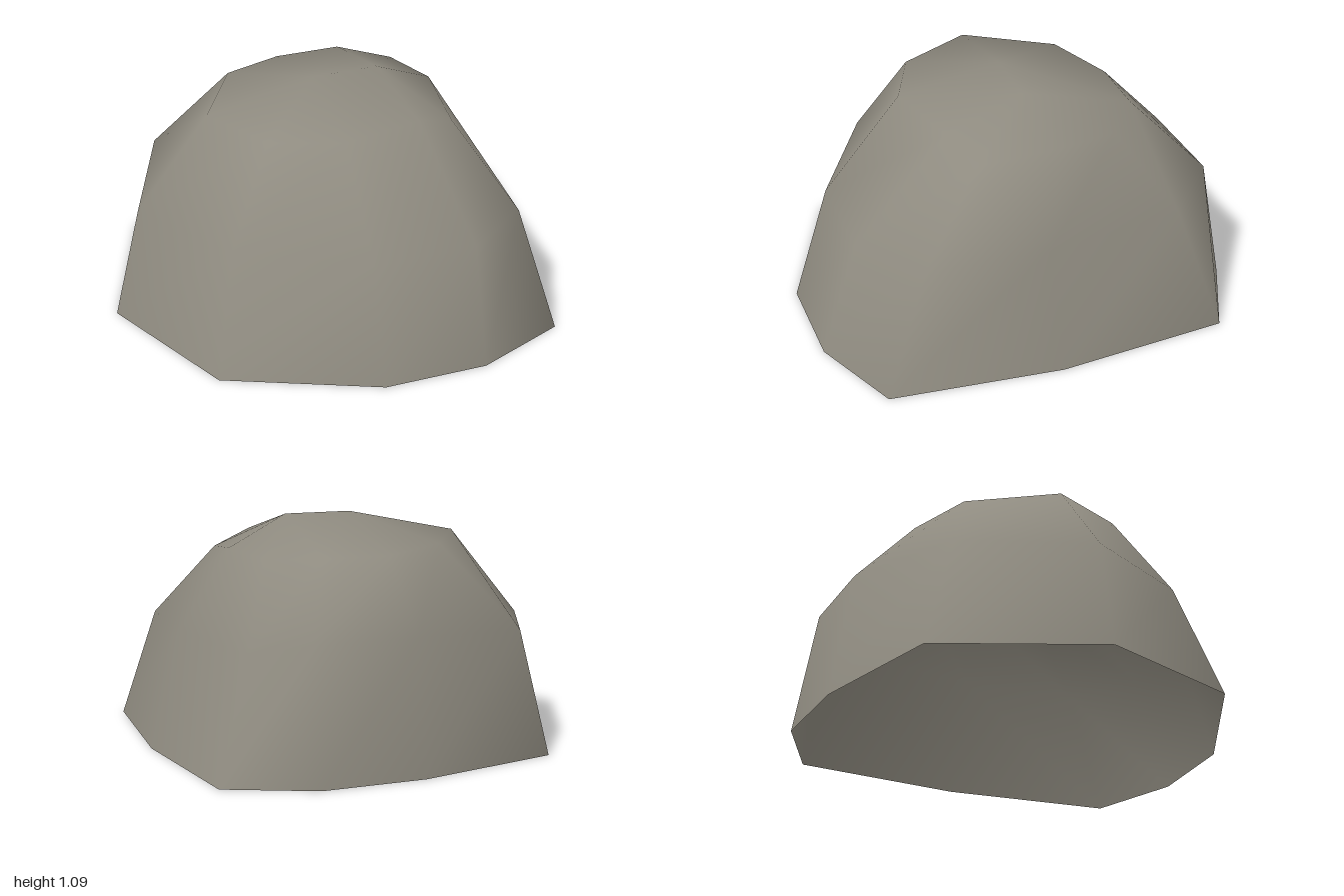
import * as THREE from 'three';

export function createModel() {
  const group = new THREE.Group();
  group.name = 'boulder';
  const stone = new THREE.MeshStandardMaterial({ color: 0x8f8b80, side: THREE.DoubleSide });
  stone.name = 'stone grey';

  // Cross-sections from the ground up, each running left, back, right, front
  const base = [[-1, 0, 0], [-0.7, 0, -0.76], [0, 0, -0.97], [0.5, 0, -1], [0.91, 0, -0.82],
    [1, 0, 0], [0.94, 0, 0.82], [0.5, 0, 1], [0, 0, 1], [-0.7, 0, 0.69]];
  const waist = [[-0.87, 0.55, 0], [-0.62, 0.57, -0.6], [0, 0.62, -0.87], [0.5, 0.62, -0.89], [0.73, 0.55, -0.66],
    [0.85, 0.56, 0.02], [0.82, 0.55, 0.6], [0.5, 0.55, 0.83], [0, 0.55, 0.83], [-0.57, 0.55, 0.51]];
  const shoulder = [[-0.51, 0.98, -0.03], [-0.28, 0.97, -0.43], [0.02, 0.945, -0.57], [0.34, 0.945, -0.57], [0.56, 0.93, -0.4],
    [0.64, 0.95, -0.1], [0.6, 0.91, 0.28], [0.4, 0.98, 0.36], [0, 0.99, 0.46], [-0.33, 0.98, 0.32]];
  // Short ridge closing the crown
  const ridge = [[0.02, 1.09, -0.03], [0.34, 1.09, -0.03]];

  const n = base.length;
  const points = [...base, ...waist, ...shoulder, ...ridge];
  const at = (row, i) => {
    const k = i % n;
    if (row < 3) return row * n + k;
    return 3 * n + (k >= 3 && k <= 7 ? 1 : 0);
  };
  const index = [];
  for (let row = 0; row < 3; row++) {
    for (let i = 0; i < n; i++) {
      const a = at(row, i), b = at(row, i + 1), c = at(row + 1, i), d = at(row + 1, i + 1);
      index.push(b, a, c);
      if (c !== d) index.push(b, c, d);
    }
  }

  // Open-bottomed shell with smooth shading
  const geometry = new THREE.BufferGeometry();
  geometry.setAttribute('position', new THREE.Float32BufferAttribute(points.flat(), 3));
  geometry.setIndex(index);
  geometry.computeVertexNormals();
  const shell = new THREE.Mesh(geometry, stone);
  shell.name = 'rockShell';
  group.add(shell);
  return group;
}
